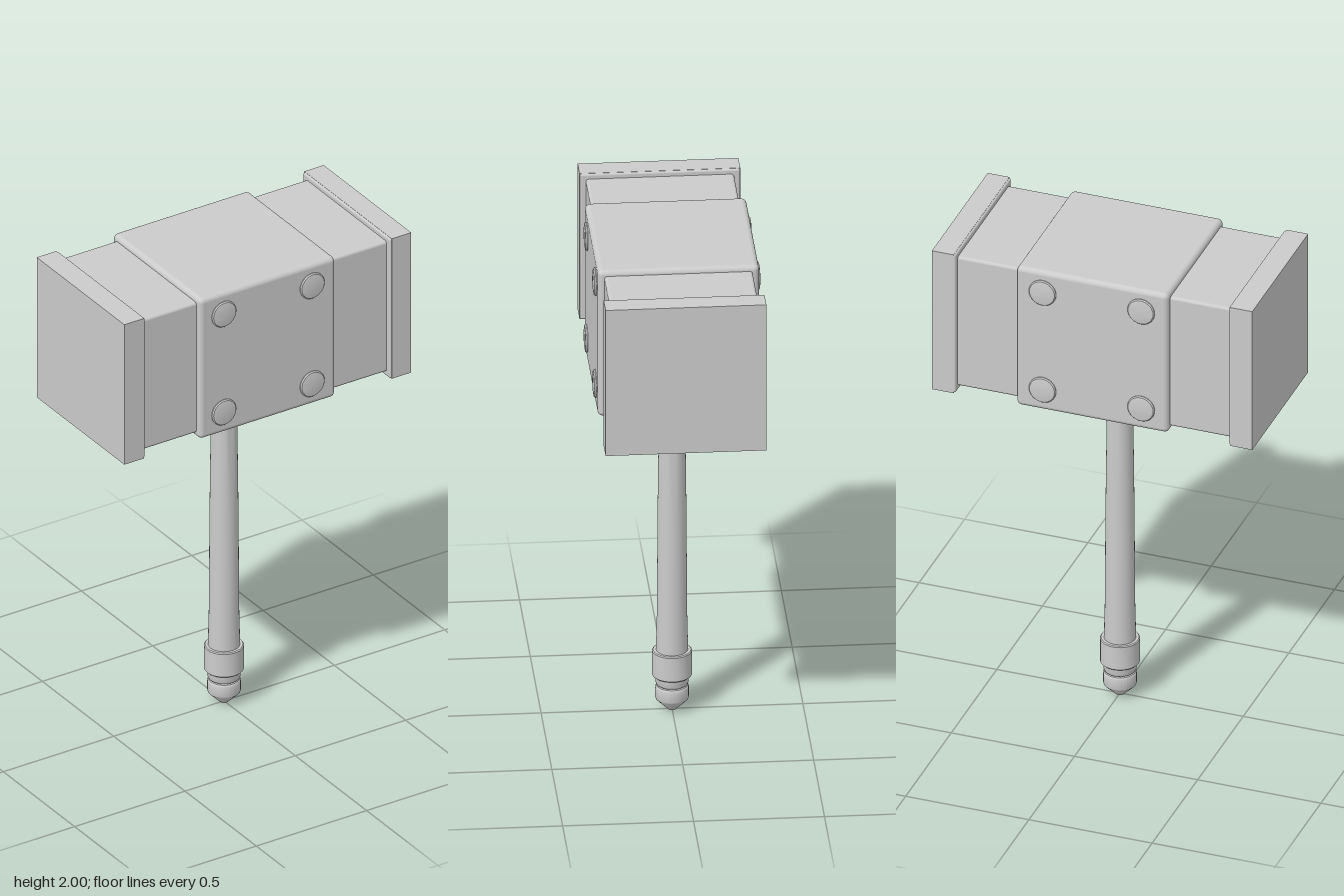
import * as THREE from 'three';
import { RoundedBoxGeometry } from 'three/addons/geometries/RoundedBoxGeometry.js';
import { toCreasedNormals } from 'three/addons/utils/BufferGeometryUtils.js';

const material = new THREE.MeshStandardMaterial({ color: 0xcccccc });
const HEAD_Y = 1.693;

function add(parent, name, geometry, x = 0, y = 0, z = 0) {
  const mesh = new THREE.Mesh(geometry, material);
  mesh.name = name;
  mesh.position.set(x, y, z);
  parent.add(mesh);
  return mesh;
}

// Revolve [radius, height] pairs, keeping hard edges sharp
function lathe(profile, segments = 32) {
  const points = profile.map(([r, y]) => new THREE.Vector2(r, y));
  return toCreasedNormals(new THREE.LatheGeometry(points, segments), 0.6);
}

export function createModel() {
  const model = new THREE.Group();
  model.name = 'hammer';

  // Head: centre band, two necks and two striking plates
  const head = new THREE.Group();
  head.name = 'head';
  head.position.y = HEAD_Y;
  model.add(head);
  add(head, 'centreBand', new RoundedBoxGeometry(0.616, 0.614, 0.616, 4, 0.02));
  for (const side of [-1, 1]) {
    const label = side > 0 ? 'left' : 'right';
    add(head, label + 'Neck', new RoundedBoxGeometry(0.4, 0.572, 0.566, 3, 0.012), side * 0.4);
    add(head, label + 'StrikingPlate', new THREE.BoxGeometry(0.088, 0.614, 0.614), side * 0.606);
    // Softened inner rim of the plate
    add(head, label + 'PlateRim', new RoundedBoxGeometry(0.06, 0.612, 0.612, 3, 0.008), side * 0.584);
  }

  // Shallow domed rivets on the front and back faces
  const rivetGeometry = lathe([[0.055, -0.01], [0.055, 0.004], [0.051, 0.009], [0.04, 0.011], [0, 0.012]], 28);
  for (const face of [-1, 1]) {
    for (const x of [-0.2, 0.2]) {
      for (const y of [-0.215, 0.215]) {
        const rivet = add(head, face > 0 ? 'frontRivet' : 'backRivet', rivetGeometry, x, y, face * 0.307);
        rivet.rotation.x = face * Math.PI / 2;
      }
    }
  }

  // Tapered handle and the collar under the head
  add(model, 'handle', lathe([[0.061, 0.2], [0.061, 0.27], [0.058, 0.4], [0.055, 0.85], [0.051, 1.2], [0.05, 1.4]]));
  add(model, 'topCollar', lathe([[0.045, 1.306], [0.064, 1.306], [0.07, 1.315], [0.07, 1.4]]));

  // Grip ring, neck ring and pointed pommel
  add(model, 'gripRing', lathe([
    [0.05, 0.143], [0.072, 0.143], [0.076, 0.147], [0.076, 0.246], [0.072, 0.25], [0.055, 0.25],
  ]));
  add(model, 'pommel', lathe([
    [0, 0], [0.016, 0], [0.062, 0.046], [0.064, 0.052], [0.064, 0.096], [0.06, 0.102],
    [0.054, 0.104], [0.06, 0.108], [0.063, 0.115], [0.063, 0.15],
  ]));

  return model;
}
